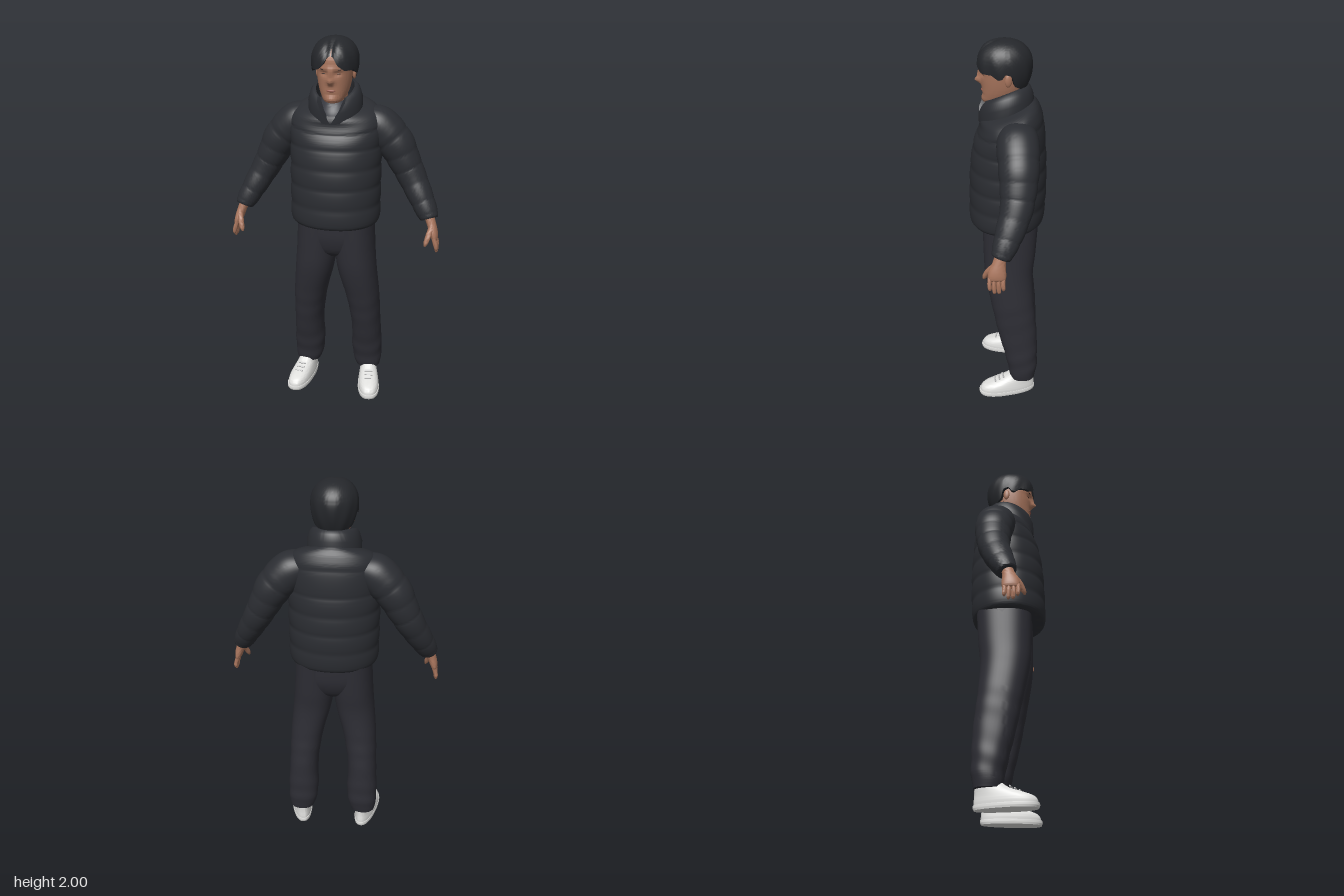
import * as THREE from 'three';
import { toCreasedNormals } from 'three/addons/utils/BufferGeometryUtils.js';

const mat = (name, color, side = THREE.FrontSide) => {
  const m = new THREE.MeshStandardMaterial({ color, side });
  m.name = name;
  return m;
};
const bell = (d, w) => Math.exp(-((d / w) ** 2));
const lerp = THREE.MathUtils.lerp;

// Surface from f(i, j); j wraps around
function grid(ni, nj, f) {
  const pos = [], idx = [];
  for (let i = 0; i <= ni; i++) for (let j = 0; j < nj; j++) pos.push(...f(i, j));
  for (let i = 0; i < ni; i++) for (let j = 0; j < nj; j++) {
    const a = i * nj + j, b = i * nj + (j + 1) % nj;
    idx.push(a, a + nj, b, b, a + nj, b + nj);
  }
  const g = new THREE.BufferGeometry();
  g.setAttribute('position', new THREE.Float32BufferAttribute(pos, 3));
  g.setIndex(idx);
  return toCreasedNormals(g, 1.0);
}

// Capped loft through rows [x, y, z, rx, rz]; flat keeps every ring horizontal
function loft(rows, { n = 48, m = 48, e = 2, flat = true, puff = () => 0, bend } = {}) {
  const curves = [0, 1, 2, 3, 4].map(k => new THREE.SplineCurve(rows.map((r, i) => new THREE.Vector2(i, r[k]))));
  const at = t => curves.map(c => c.getPoint(Math.min(1, Math.max(0, t))).y);
  const Z = new THREE.Vector3(0, 0, 1);
  return grid(m + 2, n, (i, j) => {
    const t = Math.min(1, Math.max(0, (i - 1) / m)), [x, y, z, ra, rb] = at(t);
    const T = new THREE.Vector3(0, 1, 0);
    if (!flat) {
      const p = at(t - 0.02), q = at(t + 0.02);
      T.set(q[0] - p[0], q[1] - p[1], q[2] - p[2]).normalize();
    }
    const A = T.clone().cross(Z).normalize(), B = A.clone().cross(T);
    const th = j / n * Math.PI * 2, c = Math.cos(th), s = Math.sin(th);
    const k = i === 0 || i === m + 2 ? 0 : 1 + puff(t, y, th);
    const v = new THREE.Vector3(x, y, z)
      .addScaledVector(A, k * ra * Math.sign(c) * Math.abs(c) ** (2 / e))
      .addScaledVector(B, k * rb * Math.sign(s) * Math.abs(s) ** (2 / e));
    if (bend) bend(v);
    return v.toArray();
  });
}

function mirror(geo) {
  const g = geo.index ? geo.toNonIndexed() : geo.clone();
  g.scale(-1, 1, 1);
  for (const name of ['position', 'normal']) {
    const a = g.attributes[name].array;
    for (let i = 0; i < a.length; i += 9) for (let k = 3; k < 6; k++) [a[i + k], a[i + k + 3]] = [a[i + k + 3], a[i + k]];
  }
  return g;
}

const blob = (x, y, z, sx, sy, sz, ry = 0) =>
  new THREE.SphereGeometry(1, 20, 14).scale(sx, sy, sz).rotateY(ry).translate(x, y, z);

export function createModel() {
  const root = new THREE.Group();
  root.name = 'standingMan';
  const jacket = mat('jacketCharcoal', 0x2b2d32), pants = mat('trouserCharcoal', 0x2d2d34);
  const hairMat = mat('hairBlack', 0x25272b, THREE.DoubleSide), skin = mat('skin', 0xa8755d);
  const shirt = mat('shirtGrey', 0x373940), white = mat('shoeWhite', 0xdfdfdd);
  const lace = mat('laceGrey', 0xc4c4c4), lip = mat('lipRose', 0x96594c), dark = mat('browDark', 0x3a2a26);
  const add = (name, geo, m) => {
    const mesh = new THREE.Mesh(geo, m);
    mesh.name = name;
    root.add(mesh);
  };
  const pair = (name, geo, m) => {
    add(name + 'Left', geo, m);
    add(name + 'Right', mirror(geo), m);
  };

  // Quilted jacket body, its shoulder line tilting forward
  const quilt = (d, a) => a * (Math.sqrt(Math.abs(Math.sin(d * Math.PI))) - 0.8);
  add('jacketBody', loft([
    [0, 1.035, 0.005, 0.222, 0.185], [0, 1.06, 0.005, 0.235, 0.196], [0, 1.2, 0, 0.237, 0.2],
    [0, 1.35, -0.003, 0.237, 0.196], [0, 1.47, -0.008, 0.238, 0.184], [0, 1.56, -0.013, 0.24, 0.168],
    [0, 1.61, -0.01, 0.225, 0.152], [0, 1.64, -0.002, 0.185, 0.142], [0, 1.66, 0.003, 0.12, 0.13],
  ], {
    n: 72, m: 110, e: 2.15, puff: (t, y) => (y < 1.58 ? quilt((y - 1.04) / 0.104, 0.03) : 0),
    bend: v => { v.y -= 0.33 * v.z * THREE.MathUtils.smoothstep(v.y, 1.45, 1.65); },
  }), jacket);

  // Sleeves
  pair('sleeve', loft([
    [0.14, 1.575, -0.045, 0.07, 0.09], [0.215, 1.545, -0.05, 0.098, 0.104], [0.3, 1.455, -0.055, 0.095, 0.1],
    [0.35, 1.365, -0.053, 0.083, 0.09], [0.395, 1.28, -0.043, 0.074, 0.08], [0.45, 1.18, -0.01, 0.064, 0.07],
    [0.49, 1.105, 0.02, 0.054, 0.056], [0.5, 1.08, 0.03, 0.044, 0.046],
  ], { flat: false, m: 100, e: 2.1, puff: t => (t > 0.2 ? quilt(t * 8, 0.045) : 0) }), jacket);

  // Stand-up collar, open in a V
  const section = [[0, 0], [0.5, 0.014], [0.85, 0.012], [1, 0.002], [1, -0.012], [0.85, -0.018], [0.5, -0.02], [0, -0.03]];
  add('collar', grid(64, section.length, (i, j) => {
    const u = Math.min(62, Math.max(0, i - 1)) / 62;
    let [h, off] = section[j];
    if (i === 0 || i === 64) off = -0.008;
    const low = u * Math.PI * 2, a = lerp(low, 0.7 + u * (Math.PI * 2 - 1.4), h), c = Math.cos(a);
    const yTop = 1.735 - 0.04 * c + 0.015 * Math.sin(a) ** 2;
    return [(lerp(0.138, 0.108, h) + off) * Math.sin(a), lerp(1.63 - 0.045 * c, yTop, h),
      lerp(0.008, 0.017, h) + (lerp(0.138, 0.114, h) + off) * c];
  }), jacket);

  // Shirt at the neck
  add('shirt', loft([[0, 1.55, 0.01, 0.1, 0.118], [0, 1.62, 0.012, 0.095, 0.11], [0, 1.66, 0.012, 0.08, 0.09],
    [0, 1.685, 0.008, 0.066, 0.072]], { m: 16 }), shirt);

  // Trousers: hip block and two legs with soft folds
  add('trouserHips', loft([[0, 0.83, -0.01, 0.06, 0.07], [0, 0.87, -0.01, 0.15, 0.115], [0, 0.94, -0.014, 0.2, 0.141],
    [0, 1.02, -0.016, 0.205, 0.146], [0, 1.1, -0.015, 0.2, 0.145]], { e: 2.4, m: 24 }), pants);
  pair('trouserLeg', loft([
    [0.176, 0.1, -0.085, 0.068, 0.068], [0.172, 0.14, -0.084, 0.077, 0.077], [0.168, 0.22, -0.08, 0.084, 0.087],
    [0.164, 0.4, -0.055, 0.08, 0.106], [0.147, 0.58, -0.028, 0.09, 0.116], [0.118, 0.75, -0.008, 0.104, 0.128],
    [0.106, 0.88, -0.01, 0.106, 0.138], [0.102, 1.08, -0.015, 0.1, 0.146],
  ], {
    e: 2.3, m: 90,
    puff: (t, y, th) => 0.022 * Math.sin(y * 55 + 2 * Math.sin(th)) * (bell(y - 0.2, 0.12) + 0.4 * bell(y - 0.5, 0.1)),
  }), pants);

  // Shoes, toes turned out
  const place = g => g.rotateY(0.18).translate(0.192, 0, 0);
  const foot = v => { v.x *= 1 + 0.9 * v.z; };
  pair('shoeSole', place(loft([[0, 0, 0.003, 0.058, 0.155], [0, 0.012, 0.003, 0.06, 0.16], [0, 0.024, 0.003, 0.059, 0.159]],
    { e: 2.4, m: 8, bend: foot })), white);
  pair('shoeUpper', place(loft([
    [0, 0.015, 0.002, 0.057, 0.155], [0, 0.04, 0, 0.057, 0.153], [0, 0.06, -0.009, 0.054, 0.142],
    [0, 0.08, -0.035, 0.05, 0.115], [0, 0.1, -0.063, 0.046, 0.087], [0, 0.125, -0.08, 0.042, 0.066],
  ], { e: 2.3, m: 24, bend: foot })), white);
  for (let k = 0; k < 3; k++) {
    pair('shoeLace' + (k + 1), place(new THREE.BoxGeometry(0.045, 0.007, 0.008)
      .rotateX(0.6).translate(0, 0.083 + k * 0.011, 0.073 - k * 0.023)), lace);
  }

  // Hands
  pair('palm', loft([[0.497, 1.1, 0.026, 0.026, 0.03], [0.512, 1.06, 0.037, 0.024, 0.032], [0.527, 1.015, 0.046, 0.022, 0.043],
    [0.535, 0.985, 0.048, 0.017, 0.043], [0.537, 0.972, 0.048, 0.008, 0.034]], { flat: false, n: 24, m: 20 }), skin);
  [[0.082, 0.925], [0.06, 0.908], [0.038, 0.908], [0.017, 0.925]].forEach(([z, y], k) => {
    pair('finger' + (k + 1), loft([[0.53, 0.995, z, 0.011, 0.011], [0.542, 0.96, z + 0.002, 0.012, 0.011],
      [0.547, y + 0.012, z, 0.01, 0.01], [0.546, y, z, 0.004, 0.004]], { flat: false, n: 14, m: 12 }), skin);
  });
  pair('thumb', loft([[0.517, 1.045, 0.06, 0.016, 0.016], [0.505, 1.01, 0.09, 0.015, 0.015], [0.494, 0.975, 0.108, 0.012, 0.012],
    [0.49, 0.958, 0.113, 0.005, 0.005]], { flat: false, n: 14, m: 14 }), skin);

  // Neck and head with nose, sockets, brow and chin shaped in
  add('neck', loft([[0, 1.6, -0.005, 0.065, 0.066], [0, 1.7, 0, 0.06, 0.064], [0, 1.78, 0, 0.062, 0.07]], { m: 10 }), skin);
  add('head', loft([
    [0, 1.682, 0.07, 0.025, 0.035], [0, 1.692, 0.056, 0.048, 0.068], [0, 1.72, 0.035, 0.066, 0.092],
    [0, 1.76, 0.025, 0.079, 0.103], [0, 1.81, 0.02, 0.087, 0.113], [0, 1.86, 0.018, 0.09, 0.119],
    [0, 1.91, 0.016, 0.088, 0.118], [0, 1.95, 0.012, 0.068, 0.092], [0, 1.965, 0.01, 0.04, 0.055],
  ], {
    n: 80, m: 80, e: 2.15,
    bend: v => {
      if (v.z < 0.05) return;
      const ax = Math.abs(v.x);
      v.z += 0.027 * bell(v.x, 0.015) * bell(v.y - 1.795, 0.016) + 0.014 * bell(v.x, 0.01) * bell(v.y - 1.825, 0.025)
        + 0.004 * bell(v.y - 1.856, 0.012) - 0.009 * bell(ax - 0.034, 0.018) * bell(v.y - 1.832, 0.014)
        - 0.004 * bell(v.y - 1.728, 0.01) * bell(v.x, 0.03) + 0.004 * bell(v.y - 1.705, 0.015) * bell(v.x, 0.025);
    },
  }), skin);
  pair('ear', blob(0.092, 1.818, -0.004, 0.01, 0.032, 0.018, 0.25), skin);
  pair('eye', blob(0.035, 1.831, 0.117, 0.013, 0.0035, 0.004, 0.25), dark);
  pair('eyebrow', blob(0.036, 1.853, 0.127, 0.018, 0.0035, 0.004, 0.25), dark);
  add('lips', blob(0, 1.748, 0.125, 0.023, 0.006, 0.006), lip);

  // Centre-parted hair; the hairline height follows the angle from the front
  const line = [[0, 1.935], [0.12, 1.925], [0.3, 1.876], [0.6, 1.85], [1.1, 1.848], [1.35, 1.825], [1.5, 1.83],
    [1.62, 1.855], [1.85, 1.845], [2, 1.79], [2.4, 1.768], [3.2, 1.762]];
  const hairline = a => {
    const k = Math.max(1, line.findIndex(p => p[0] >= a)), [a0, y0] = line[k - 1], [a1, y1] = line[k];
    return lerp(y0, y1, (a - a0) / (a1 - a0));
  };
  const N = 30;
  add('hair', grid(N + 1, 96, (i, j) => {
    const phi = j / 96 * Math.PI * 2, a = Math.min(phi, Math.PI * 2 - phi), edge = hairline(a);
    const t = Math.min(1, i / N);
    let y = edge + (1.997 - edge) * Math.cos(t * Math.PI / 2);
    const d = (y - 1.875) / 0.122;
    let r = d > 0 ? Math.max(0, 1 - d ** 2.3) ** (1 / 2.2) : 1 - 0.23 * d * d;
    r *= 1 - 0.1 * bell(a, 0.15) + 0.03 * bell(a - 0.6, 0.35) + 0.012 * Math.sin(a * 11 + y * 30) * t;
    if (i > N) { r *= 0.76; y += 0.008; }
    const x = 0.118 * r * Math.sin(phi), z = 0.016 + 0.137 * r * Math.cos(phi);
    y -= 0.018 * bell(x, 0.018) * THREE.MathUtils.smoothstep(z, 0.02, 0.1);
    return [x, y, z];
  }), hairMat);

  return root;
}
